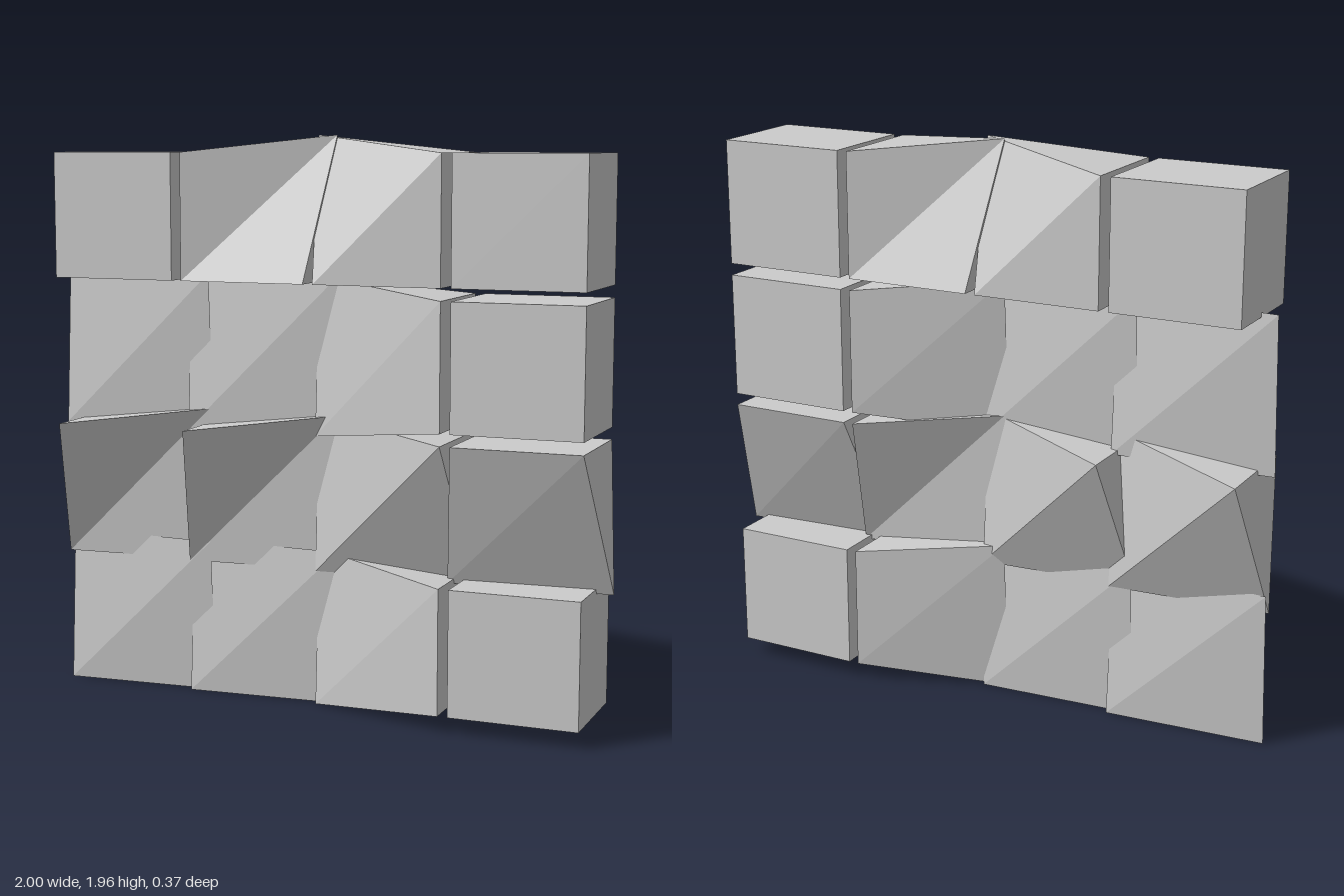
import * as THREE from 'three';

// Four corners per block: top left, top right, bottom left, bottom right.
// 'o' keeps the full depth, 'x' is pinched to a single point and flared out.
const ROWS = [ // bottom row first
  ['xxxx', 'xxxx', 'xoxo', 'oooo'],
  ['oxxx', 'oxxx', 'xoxx', 'ooxx'],
  ['xxxx', 'xxxx', 'xoxo', 'oooo'],
  ['oooo', 'oxoo', 'xooo', 'oooo'],
];
const HALF = { x: 0.222, y: 0.215, z: 0.185 };
const FLARE = { x: 0.28, y: 0.272, z: 0.018 };

function block(corners, material) {
  const indexed = new THREE.BoxGeometry(2, 2, 2);
  const p = indexed.attributes.position;
  for (let i = 0; i < p.count; i++) {
    const x = p.getX(i), y = p.getY(i), z = p.getZ(i);
    const corner = corners[(y > 0 ? 0 : 2) + (x > 0 ? 1 : 0)];
    // pinched points lean alternately forward and back, giving a slight twist
    if (corner === 'x') p.setXYZ(i, x * FLARE.x, y * FLARE.y, x * y * FLARE.z);
    else p.setXYZ(i, x * HALF.x, y * HALF.y, z * HALF.z);
  }
  const geometry = indexed.toNonIndexed();
  geometry.computeVertexNormals();
  return new THREE.Mesh(geometry, material);
}

export function createModel() {
  const model = new THREE.Group();
  model.name = 'blockWall';
  const material = new THREE.MeshStandardMaterial({ color: 0xcccccc, flatShading: true });

  ROWS.forEach((row, r) => {
    const course = new THREE.Group();
    course.name = `blockRow${r + 1}`;
    course.position.y = 0.272 + r * 0.471;
    row.forEach((corners, c) => {
      const mesh = block(corners, material);
      mesh.name = corners === 'oooo' ? 'cubeBlock' : corners === 'xxxx' ? 'flatBlock' : 'pinchedBlock';
      mesh.position.x = (c - 1.5) * 0.479;
      course.add(mesh);
    });
    model.add(course);
  });
  return model;
}
